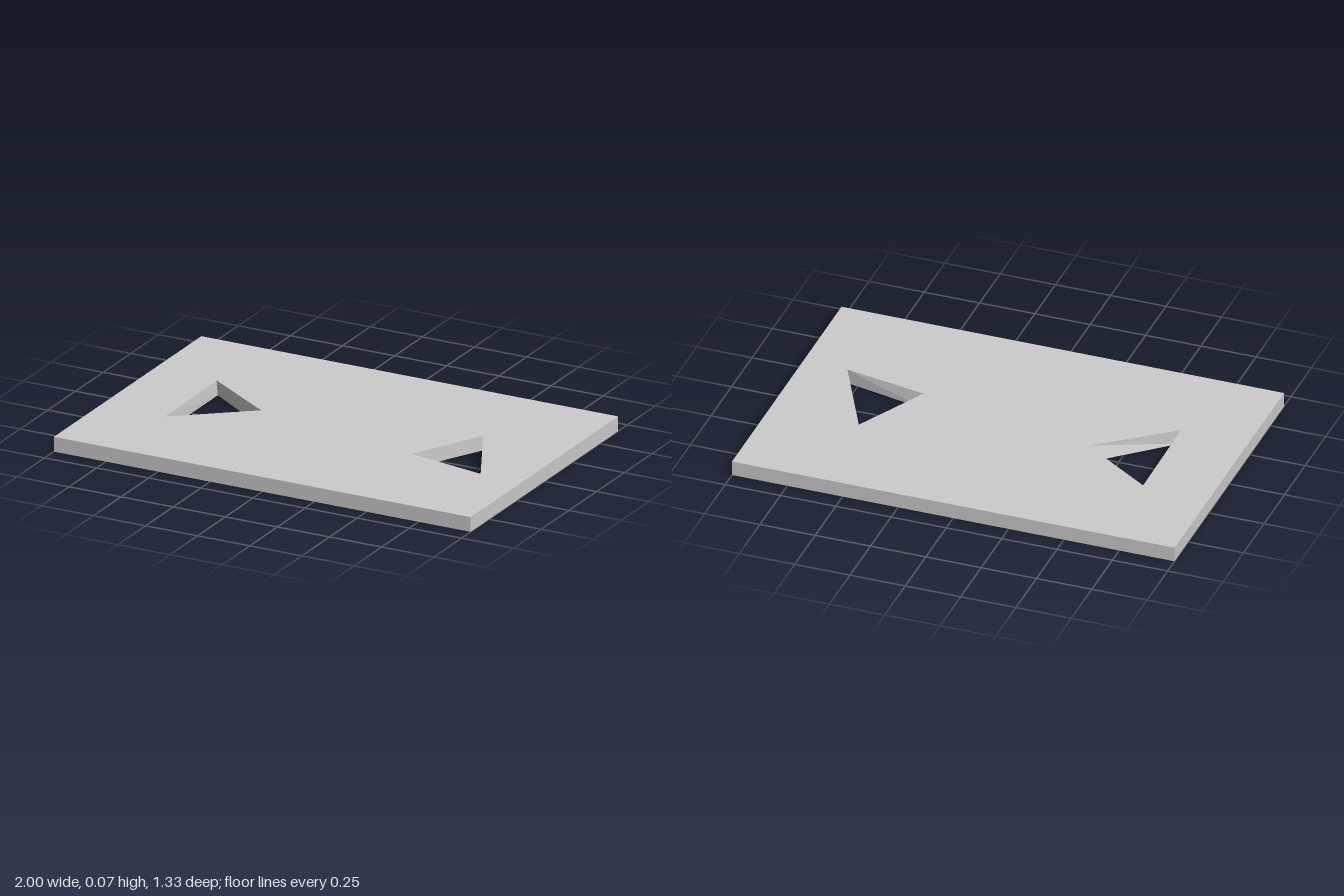
import * as THREE from 'three';

const LENGTH = 2, DEPTH = 1.333, THICK = 0.067;

// Corners of the two triangular holes as [x, z], on the top and bottom faces
const HOLES = [
  {
    top: [[-0.70, -0.24], [-0.37, -0.02], [-0.695, 0.235]],
    bottom: [[-0.695, -0.24], [-0.395, -0.03], [-0.695, 0.235]],
  },
  {
    top: [[0.60, -0.20], [0.80, 0.20], [0.43, 0.13]],
    bottom: [[0.60, -0.20], [0.80, 0.20], [0.435, 0.12]],
  },
];

const toPoints = (corners) => corners.map(([x, z]) => new THREE.Vector2(x, -z));

export function createModel() {
  const group = new THREE.Group();

  // Flat rectangular plate with both holes cut through
  const w = LENGTH / 2, d = DEPTH / 2;
  const outline = new THREE.Shape(toPoints([[-w, d], [w, d], [w, -d], [-w, -d]]));
  for (const hole of HOLES) outline.holes.push(new THREE.Path(toPoints(hole.top)));
  const geometry = new THREE.ExtrudeGeometry(outline, { depth: THICK, bevelEnabled: false });
  geometry.rotateX(-Math.PI / 2);

  // Slant the hole walls by moving their lower corners
  const pos = geometry.attributes.position;
  for (let i = 0; i < pos.count; i++) {
    if (pos.getY(i) > THICK / 2) continue;
    for (const { top, bottom } of HOLES) {
      const k = top.findIndex(([x, z]) => Math.hypot(pos.getX(i) - x, pos.getZ(i) - z) < 1e-4);
      if (k < 0) continue;
      pos.setXYZ(i, bottom[k][0], pos.getY(i), bottom[k][1]);
      break;
    }
  }
  geometry.computeVertexNormals();

  const plate = new THREE.Mesh(
    geometry,
    new THREE.MeshStandardMaterial({ color: 0xcccccc, flatShading: true })
  );
  plate.name = 'plate';
  group.add(plate);
  return group;
}
